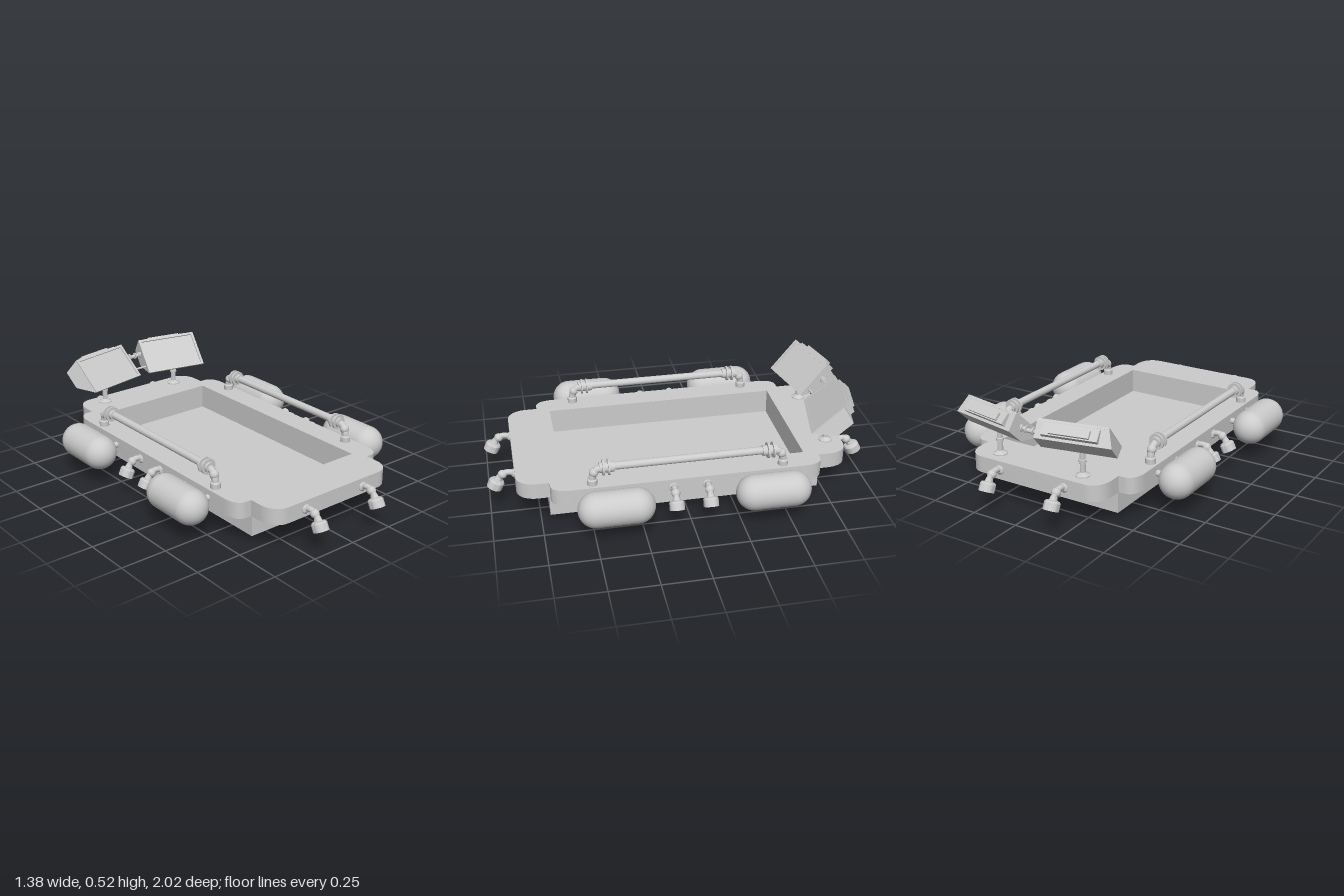
import * as THREE from 'three';
import { toCreasedNormals } from 'three/addons/utils/BufferGeometryUtils.js';

const grey = new THREE.MeshStandardMaterial({ color: 0xcccccc });
const V = (x, y, z) => new THREE.Vector3(x, y, z);

function add(parent, name, geometry, x = 0, y = 0, z = 0) {
  const mesh = new THREE.Mesh(geometry, grey);
  mesh.name = name;
  mesh.position.set(x, y, z);
  parent.add(mesh);
  return mesh;
}

function group(parent, name, x = 0, y = 0, z = 0) {
  const g = new THREE.Group();
  g.name = name;
  g.position.set(x, y, z);
  parent.add(g);
  return g;
}

// Cylinder between two points
function rod(parent, name, a, b, r, r2 = r) {
  const dir = b.clone().sub(a);
  const mesh = add(parent, name, new THREE.CylinderGeometry(r2, r, dir.length(), 24));
  mesh.position.copy(a).add(b).multiplyScalar(0.5);
  mesh.quaternion.setFromUnitVectors(V(0, 1, 0), dir.normalize());
}

const tube = (points, r) => new THREE.TubeGeometry(new THREE.CatmullRomCurve3(points), 24, r, 12);

const lathe = (pts) => toCreasedNormals(
  new THREE.LatheGeometry(pts.map(p => new THREE.Vector2(...p)), 28), 0.6);

// Flat-sided block whose bottom and top rectangles differ (half sizes)
function frustum(x0, z0, x1, z1, y0, y1) {
  const geo = new THREE.BoxGeometry(2, 2, 2);
  const p = geo.attributes.position;
  for (let i = 0; i < p.count; i++) {
    const top = p.getY(i) > 0;
    p.setXYZ(i, p.getX(i) * (top ? x1 : x0), top ? y1 : y0, p.getZ(i) * (top ? z1 : z0));
  }
  geo.computeVertexNormals();
  return geo;
}

function rectPath(x, y, Type = THREE.Path) {
  return new Type([[-x, -y], [x, -y], [x, y], [-x, y]].map(p => new THREE.Vector2(...p)));
}

// Extrude a plan outline upward from y0 to y1
function slab(shape, y0, y1) {
  const geo = new THREE.ExtrudeGeometry(shape, { depth: y1 - y0, bevelEnabled: false, curveSegments: 12 });
  return toCreasedNormals(geo.rotateX(-Math.PI / 2).translate(0, y0, 0), 0.6);
}

// Deck outline: wide middle, narrower rounded ends
function deckShape() {
  const quarter = new THREE.Path();
  quarter.moveTo(0.48, 0);
  quarter.lineTo(0.48, 0.6);
  quarter.bezierCurveTo(0.48, 0.66, 0.46, 0.7, 0.42, 0.7);
  quarter.lineTo(0.39, 0.7);
  quarter.lineTo(0.39, 0.76);
  quarter.bezierCurveTo(0.39, 0.82, 0.355, 0.865, 0.30, 0.865);
  const q = quarter.getPoints(10).slice(1);
  const flip = (sx, sy) => q.map(p => new THREE.Vector2(p.x * sx, p.y * sy));
  const shape = new THREE.Shape([
    ...flip(1, 1), ...flip(-1, 1).reverse(), ...flip(-1, -1), ...flip(1, -1).reverse()]);
  shape.holes.push(rectPath(0.35, 0.63));
  return shape;
}

// Bent arm with a downward nozzle; points outward along local +z
function thruster(parent, x, z, yaw, reach) {
  const g = group(parent, 'thruster', x, 0, z);
  g.rotation.y = yaw;
  g.scale.z = reach;
  add(g, 'thrusterMount', lathe([[0.024, -0.01], [0.024, 0.004], [0.013, 0.014]]), 0, 0.19, 0).rotation.x = Math.PI / 2;
  add(g, 'thrusterArm', tube([V(0, 0.19, -0.01), V(0, 0.2, 0.03), V(0, 0.193, 0.06), V(0, 0.165, 0.083)], 0.015));
  add(g, 'thrusterElbow', new THREE.SphereGeometry(0.023, 20, 14), 0, 0.19, 0.058);
  const nozzle = add(g, 'thrusterNozzle', lathe([
    [0, -0.022], [0.028, -0.022], [0.03, -0.032], [0.039, -0.032], [0.039, 0.006],
    [0.033, 0.014], [0.02, 0.018], [0.016, 0.035], [0, 0.035]]), 0, 0.146, 0.09);
  nozzle.rotation.x = -0.46;
}

// Handrail with flanged ends on bent posts
function rail(parent, s) {
  const g = group(parent, 'handrail', s * 0.44, 0, 0);
  rod(g, 'railBar', V(0, 0.328, -0.42), V(0, 0.328, 0.42), 0.02);
  for (const e of [-1, 1]) {
    for (const z of [0.408, 0.436]) {
      add(g, 'railFlange', new THREE.CylinderGeometry(0.041, 0.041, 0.009, 28), 0, 0.326, e * z).rotation.x = Math.PI / 2;
    }
    rod(g, 'railHub', V(0, 0.326, e * 0.38), V(0, 0.326, e * 0.455), 0.027);
    add(g, 'railElbow', tube([V(0, 0.325, e * 0.44), V(0, 0.315, e * 0.47), V(0, 0.285, e * 0.488), V(0, 0.25, e * 0.492)], 0.019));
    add(g, 'railBall', new THREE.SphereGeometry(0.024, 20, 14), 0, 0.302, e * 0.482);
    add(g, 'railFoot', lathe([[0.026, 0], [0.026, 0.03], [0.02, 0.036], [0, 0.036]]), 0, 0.232, e * 0.492);
  }
}

// Tilted console display on a pole
function display(parent, s) {
  const g = group(parent, 'display', s * 0.205, 0.365, -0.69);
  g.rotation.set(-Math.PI / 4, -s * 0.2, 0, 'YXZ');
  const w = 0.178, h = 0.218, depth = 0.095;

  // Housing: underside chamfers up, outer side flares backward
  const body = new THREE.BoxGeometry(2, 2, 2);
  const p = body.attributes.position;
  for (let i = 0; i < p.count; i++) {
    const back = p.getZ(i) < 0, up = p.getY(i) > 0, outer = p.getX(i) * s > 0;
    const x = p.getX(i) * w + (back && outer ? s * 0.03 : 0);
    const y = back ? (up ? 0.2 : 0.095) : (up ? h : 0);
    p.setXYZ(i, x, y, back ? -depth : -0.008);
  }
  body.computeVertexNormals();
  add(g, 'displayHousing', body);

  // Raised bezel round the screen
  const bezel = rectPath(w, h / 2, THREE.Shape);
  bezel.holes.push(rectPath(w - 0.014, h / 2 - 0.014));
  add(g, 'displayBezel', new THREE.ExtrudeGeometry(bezel, { depth: 0.01, bevelEnabled: false }), 0, h / 2, -0.01);

  // Stepped plates on the top edge
  add(g, 'displayTopPlate', new THREE.BoxGeometry(0.28, 0.045, 0.062), 0, 0.206, -0.051);
  add(g, 'displayTopCap', new THREE.BoxGeometry(0.2, 0.045, 0.04), 0, 0.219, -0.056);

  // Pole with collar and flared foot
  add(parent, 'displayPole', lathe([
    [0.036, 0], [0.036, 0.006], [0.02, 0.014], [0.014, 0.02], [0.014, 0.07],
    [0.019, 0.072], [0.019, 0.085], [0.014, 0.087], [0.014, 0.12],
    [0.02, 0.122], [0.02, 0.175], [0, 0.175]]), s * 0.245, 0.234, -0.785);
}

export function createModel() {
  const model = new THREE.Group();
  model.name = 'raft';

  // Hull and deck
  add(model, 'deck', slab(deckShape(), 0.15, 0.235));
  const walls = rectPath(0.388, 0.705, THREE.Shape);
  walls.holes.push(rectPath(0.35, 0.63));
  add(model, 'hullWalls', slab(walls, 0.1, 0.165));
  add(model, 'hullFloor', frustum(0.388, 0.705, 0.388, 0.705, 0.042, 0.1));
  add(model, 'hullBevel', frustum(0.31, 0.54, 0.388, 0.705, 0.028, 0.042));
  add(model, 'keelPlate', frustum(0.26, 0.47, 0.31, 0.54, 0, 0.028));

  for (const s of [-1, 1]) {
    // Side floats on twin struts
    for (const z of [0.393, -0.403]) {
      const f = group(model, 'float', 0, 0.185, z);
      add(f, 'floatBody', new THREE.CapsuleGeometry(0.091, 0.204, 14, 36), s * 0.597).rotation.x = Math.PI / 2;
      for (const dz of [-0.092, 0.092]) {
        rod(f, 'floatStrut', V(s * 0.46, 0.007, dz), V(s * 0.55, 0.007, dz), 0.016);
      }
    }
    rail(model, s);
    display(model, s);
    // Thrusters on the sides and on both ends
    for (const e of [-1, 1]) {
      thruster(model, s * 0.478, e * 0.087, s * Math.PI / 2, 0.96);
      thruster(model, s * 0.19, e * 0.865, e > 0 ? 0 : Math.PI, 1.04);
    }
  }

  // Links between the two displays
  const links = group(model, 'displayLinks');
  add(links, 'upperLink', tube([V(-0.1, 0.455, -0.83), V(-0.05, 0.44, -0.855), V(0, 0.433, -0.858), V(0.05, 0.44, -0.855), V(0.1, 0.455, -0.83)], 0.011));
  add(links, 'lowerLink', tube([V(-0.07, 0.39, -0.765), V(-0.03, 0.385, -0.78), V(0.03, 0.385, -0.78), V(0.07, 0.39, -0.765)], 0.006));
  for (const s of [-1, 1]) {
    for (const x of [0.02, 0.045]) {
      add(links, 'linkRing', new THREE.CylinderGeometry(0.018, 0.018, 0.008, 20), s * x, 0.437, -0.857).rotation.z = Math.PI / 2;
    }
  }
  return model;
}
